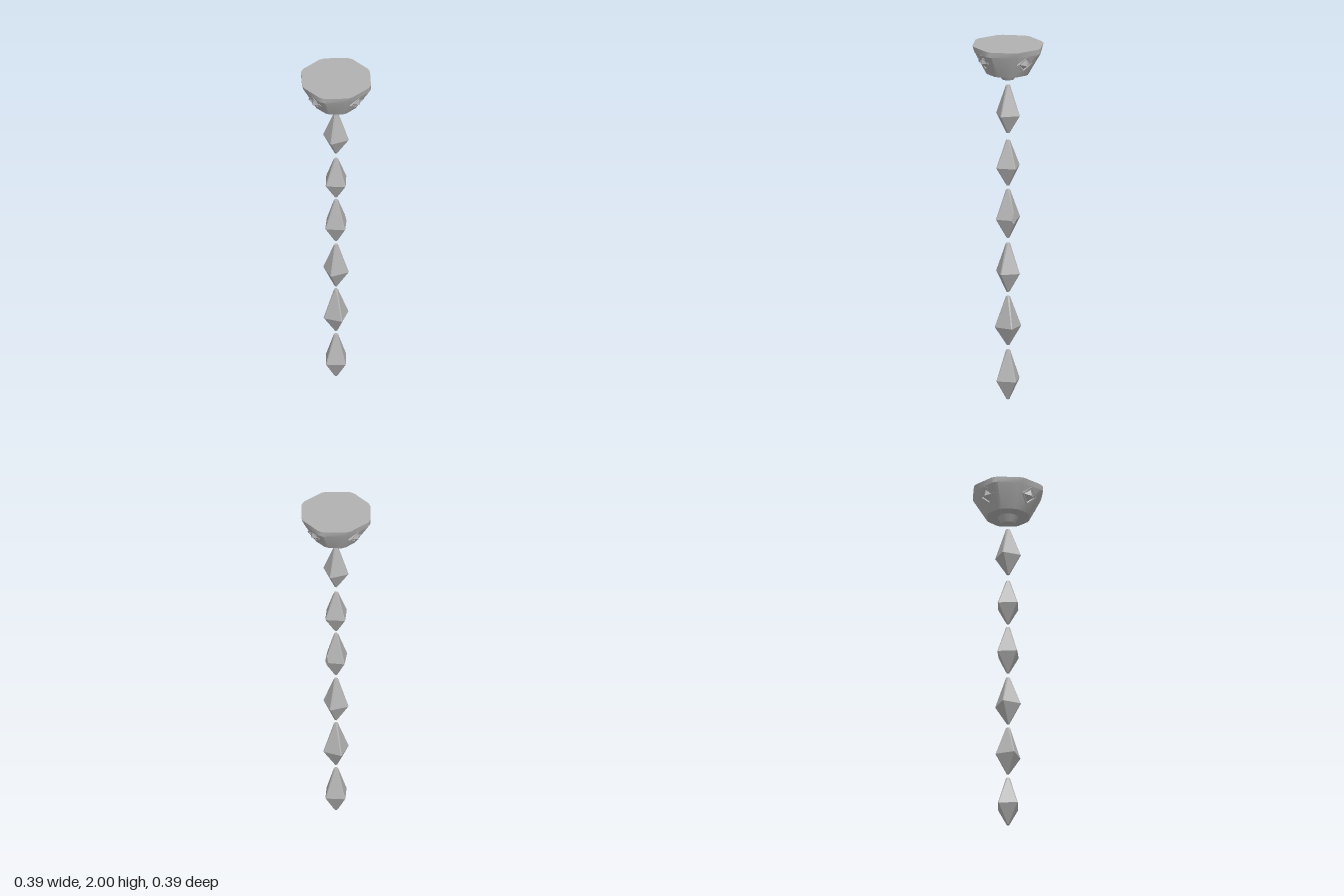
import * as THREE from 'three';
import { toCreasedNormals } from 'three/addons/utils/BufferGeometryUtils.js';

// Stacked polygon rings with bevelled corners, closed at both ends.
// ring: { y, r, bevel, chip (bevel of corner 1), odd (radius factor of odd corners) }
function loft(sides, rings, crease) {
  const pos = [], index = [], count = sides * 2;
  const slope = Math.tan(Math.PI / sides);
  for (const { y, r, bevel, chip = bevel, odd = 1 } of rings) {
    for (let k = 0; k < sides; k++) {
      const a = (k / sides) * Math.PI * 2, s = Math.sin(a), c = Math.cos(a);
      const b = k === 1 ? chip : bevel;
      const out = r * (k % 2 ? odd : 1) - b * slope;
      for (const t of [-b, b]) pos.push(s * out + c * t, y, c * out - s * t);
    }
  }
  const last = rings.length - 1, base = last * count;
  const bottom = pos.length / 3, top = bottom + 1;
  pos.push(0, rings[0].y, 0, 0, rings[last].y, 0);
  for (let j = 0; j < count; j++) {
    const n = (j + 1) % count;
    for (let i = 0; i < last; i++) {
      const p = i * count, q = p + count;
      index.push(p + j, p + n, q + n, p + j, q + n, q + j);
    }
    index.push(bottom, n, j, top, base + j, base + n);
  }
  const geo = new THREE.BufferGeometry();
  geo.setAttribute('position', new THREE.Float32BufferAttribute(pos, 3));
  geo.setIndex(index);
  return toCreasedNormals(geo, crease);
}

export function createModel() {
  const model = new THREE.Group();
  model.name = 'hangingCrystals';
  const stone = new THREE.MeshStandardMaterial({ color: 0xb0b0b0 });
  stone.name = 'grey stone';

  const add = (name, geometry, parent = model) => {
    const mesh = new THREE.Mesh(geometry, stone);
    mesh.name = name;
    parent.add(mesh);
    return mesh;
  };

  // Ceiling mount: an eight-sided bowl with a flat top
  add('ceilingMount', loft(8, [
    { y: 1.842, r: 0.125, bevel: 0.012 },
    { y: 1.97, r: 0.193, bevel: 0.016, odd: 1.06 },
    { y: 2, r: 0.201, bevel: 0.015, odd: 1.02 },
  ], 0.5));

  // Small tapered boss below the mount
  add('boss', loft(8, [
    { y: 1.805, r: 0.036, bevel: 0.004 },
    { y: 1.845, r: 0.06, bevel: 0.006 },
  ], 0.5));

  // Diamond studs with a raised frame on every other side of the mount
  const studProfile = [[0.056, -0.012], [0.05, 0.008], [0.041, 0.008], [0.036, 0.002], [0, 0.026]]
    .map(([r, y]) => new THREE.Vector2(r, y));
  const studGeometry = toCreasedNormals(new THREE.LatheGeometry(studProfile, 4), 0.1);
  for (let i = 0; i < 4; i++) {
    const holder = new THREE.Group();
    holder.name = 'studHolder';
    holder.rotation.y = Math.PI / 8 + (i * Math.PI) / 2;
    const stud = add('stud', studGeometry, holder);
    stud.position.set(0, 1.925, 0.156);
    stud.rotation.x = Math.PI / 2 + 0.42;
    model.add(holder);
  }

  // Floating column of six crystals: bottom, girdle, top, turn in degrees
  const crystals = [
    [1.5, 1.605, 1.77, 45],
    [1.205, 1.31, 1.46, 20],
    [0.91, 1.02, 1.182, 17, true],
    [0.605, 0.715, 0.88, 45],
    [0.305, 0.41, 0.58, 3],
    [0, 0.11, 0.278, 21],
  ];
  for (const [low, mid, high, turn, chipped] of crystals) {
    const rings = [
      { y: low, r: 0.011, bevel: 0.004 },
      { y: mid, r: 0.077, bevel: 0.003, chip: chipped ? 0.014 : 0.003 },
      { y: high, r: 0.015, bevel: 0.005 },
    ];
    // A chipped crystal has one corner cut off around the girdle
    if (chipped) {
      rings.splice(2, 0, { y: mid + 0.036, r: 0.063, bevel: 0.003, chip: 0.001 });
      rings.splice(1, 0, { y: mid - 0.023, r: 0.063, bevel: 0.003, chip: 0.001 });
    }
    add('crystal', loft(4, rings, 0.2)).rotation.y = THREE.MathUtils.degToRad(turn);
  }
  return model;
}
